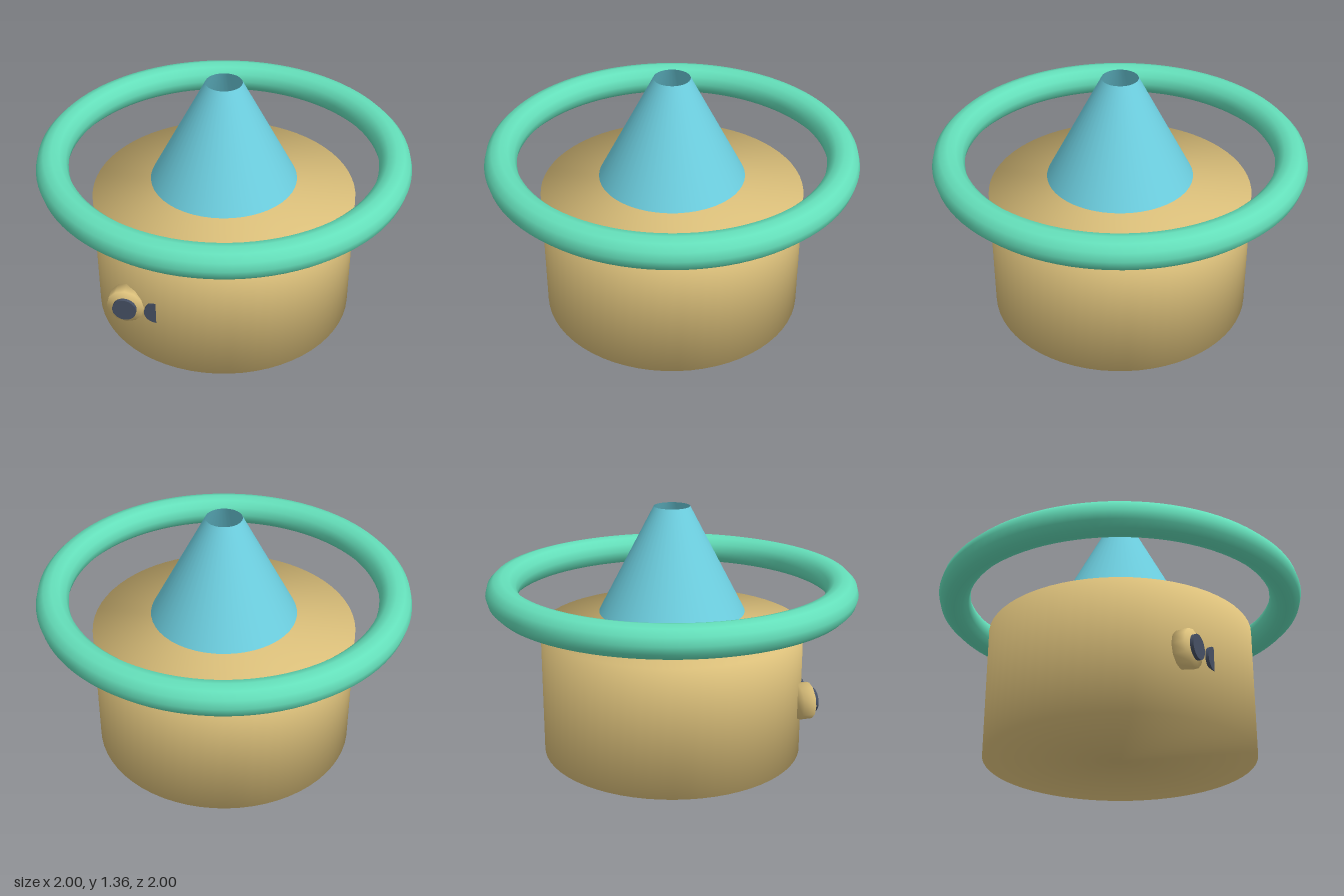
import * as THREE from 'three';
import { mergeVertices } from 'three/addons/utils/BufferGeometryUtils.js';

// Closed drum whose normals run smoothly over the rims
function softCylinder(radius, height, sides) {
  const g = new THREE.CylinderGeometry(radius, radius, height, sides);
  g.deleteAttribute('normal');
  g.deleteAttribute('uv');
  const merged = mergeVertices(g, 1e-4);
  merged.computeVertexNormals();
  return merged;
}

export function createModel() {
  const model = new THREE.Group();
  const material = (name, color) => {
    const m = new THREE.MeshStandardMaterial({ color, side: THREE.DoubleSide });
    m.name = name;
    return m;
  };
  const tan = material('tan', 0xdec27c);
  const blue = material('sky blue', 0x6dcfe0);
  const green = material('mint green', 0x64dfba);
  const slate = material('slate', 0x465064);

  const add = (name, geometry, mat, x, y, z) => {
    const mesh = new THREE.Mesh(geometry, mat);
    mesh.name = name;
    mesh.position.set(x, y, z);
    model.add(mesh);
    return mesh;
  };

  // Drum body
  add('body', softCylinder(0.717, 0.705, 64), tan, 0, 0.3525, 0);

  // Floating cone, open at both ends
  add('cone', new THREE.CylinderGeometry(0.097, 0.397, 0.575, 48, 1, true), blue, 0, 1.0725, 0);

  // Floating ring
  add('ring', new THREE.TorusGeometry(0.914, 0.086, 12, 96), green, 0, 0.914, 0).rotation.x = Math.PI / 2;

  // Round mount on the front, with two dark discs; the second is half sunk in the body
  add('eyeMount', softCylinder(0.1, 0.068, 12), tan, -0.423, 0.338, 0.606).rotation.x = Math.PI / 2;
  for (const [name, x] of [['rightDisc', -0.423], ['leftDisc', -0.253]]) {
    add(name, new THREE.CylinderGeometry(0.064, 0.064, 0.018, 32), slate, x, 0.338, 0.661).rotation.x = Math.PI / 2;
  }

  return model;
}
